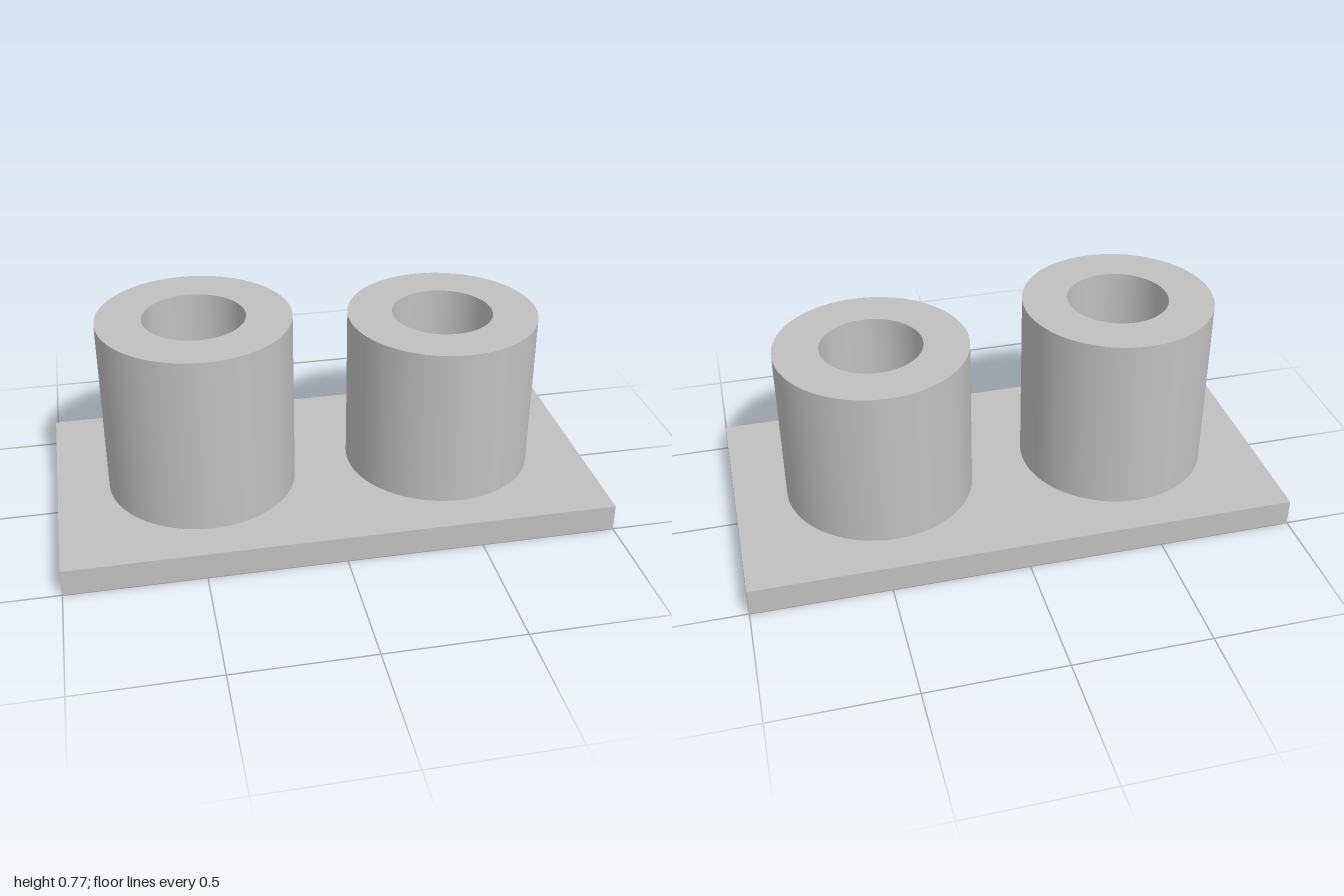
import * as THREE from 'three';
import { toCreasedNormals } from 'three/addons/utils/BufferGeometryUtils.js';

const BASE_HEIGHT = 0.1;
const OUTER_RADIUS = 0.35;
const BORE_RADIUS = 0.185;

// Hollow round post standing on the base plate, whose top is the floor of the bore
function makePost(name, x, topY, material) {
  const profile = [
    [OUTER_RADIUS, BASE_HEIGHT],
    [OUTER_RADIUS, topY],
    [BORE_RADIUS, topY],
    [BORE_RADIUS, BASE_HEIGHT],
  ].map(([r, y]) => new THREE.Vector2(r, y));
  const geometry = toCreasedNormals(new THREE.LatheGeometry(profile, 96), Math.PI / 6);
  const post = new THREE.Mesh(geometry, material);
  post.name = name;
  post.position.x = x;
  return post;
}

export function createModel() {
  const model = new THREE.Group();
  model.name = 'twinPostBase';

  const grey = new THREE.MeshStandardMaterial({ color: 0xc0c0c0 });
  grey.name = 'light grey';

  // Flat rectangular base plate
  const base = new THREE.Mesh(new THREE.BoxGeometry(2, BASE_HEIGHT, 1), grey);
  base.name = 'basePlate';
  base.position.y = BASE_HEIGHT / 2;
  model.add(base);

  // Two hollow posts of different height
  model.add(makePost('tallPost', -0.458, 0.768, grey));
  model.add(makePost('shortPost', 0.456, 0.702, grey));

  return model;
}
